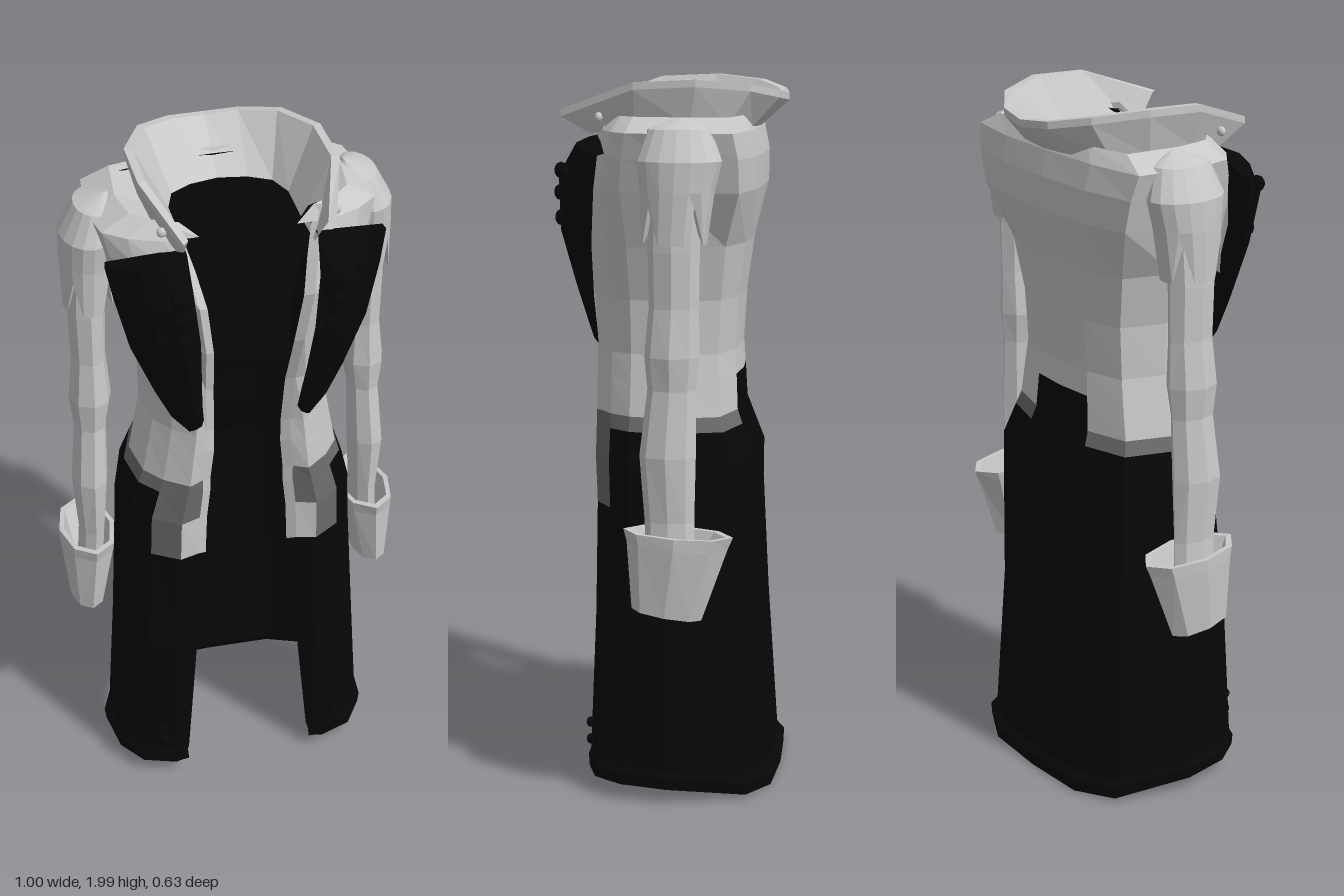
import * as THREE from 'three';

const paint = (name, color) => Object.assign(new THREE.MeshStandardMaterial({ color, flatShading: true }), { name });

export function createModel() {
  const coat = new THREE.Group();
  coat.name = 'longCoat';
  const light = paint('lightGrey', 0xc8c8c8);
  const mid = paint('midGrey', 0x6a6a6a);
  const black = paint('black', 0x070707);

  // Skins rows of points (top to bottom, each running rightwards seen from outside); one mesh per colour
  function loft(name, rows, pick, { closed = true, mirror = false } = {}) {
    const buckets = new Map();
    const n = rows[0].length;
    for (let i = 0; i < rows.length - 1; i++) {
      for (let j = 0; j < (closed ? n : n - 1); j++) {
        const k = (j + 1) % n;
        const [a, b, c, d] = [rows[i][j], rows[i][k], rows[i + 1][k], rows[i + 1][j]];
        const m = pick(i, j);
        if (!buckets.has(m)) buckets.set(m, []);
        const order = mirror ? [a, c, d, a, b, c] : [a, d, c, a, c, b];
        for (const p of order) buckets.get(m).push(mirror ? -p[0] : p[0], p[1], p[2]);
      }
    }
    for (const [m, list] of buckets) {
      const g = new THREE.BufferGeometry();
      g.setAttribute('position', new THREE.Float32BufferAttribute(list, 3));
      g.computeVertexNormals();
      const mesh = new THREE.Mesh(g, m);
      mesh.name = buckets.size > 1 ? `${name} ${m.name}` : name;
      coat.add(mesh);
    }
  }
  const flip = (half) => half.slice(0, -1).reverse().map(([x, y, z]) => [-x, y, z]);
  const whole = (half) => [...half, ...flip(half)];
  const ring = ([x, y, z, rx, rz, tilt = 0], n = 8) => Array.from({ length: n }, (_, k) => {
    const t = (k / n) * Math.PI * 2;
    return [x + rx * Math.sin(t), y + tilt * Math.cos(t), z + rz * Math.cos(t)];
  });

  // Body and skirt: height, half width, back z, front z, half opening, z of the opening edge
  const body = [
    [1.86, 0.225, -0.2, 0.17, 0.2, 0.17],
    [1.9, 0.31, -0.215, 0.15, 0.2, 0.16],
    [1.86, 0.39, -0.235, 0.17, 0.185, 0.18],
    [1.79, 0.37, -0.25, 0.2, 0.165, 0.22],
    [1.7, 0.345, -0.25, 0.215, 0.145, 0.265],
    [1.55, 0.3, -0.22, 0.215, 0.125, 0.25],
    [1.4, 0.265, -0.2, 0.205, 0.115, 0.205],
    [1.25, 0.262, -0.19, 0.2, 0.11, 0.185],
    [1.18, 0.275, -0.195, 0.2, 0.11, 0.185],
    [1.08, 0.295, -0.2, 0.2, 0.12, 0.18],
    [1.04, 0.31, -0.215, 0.2, 0.12, 0.18],
    [0.95, 0.34, -0.25, 0.2, 0.13, 0.18],
    [0.82, 0.345, -0.25, 0.195, 0.135, 0.18],
    [0.5, 0.36, -0.26, 0.2, 0.165, 0.19],
    [0.1, 0.385, -0.29, 0.215, 0.2, 0.21],
    [0.085, 0.4, -0.31, 0.22, 0.205, 0.215],
    [0.05, 0.395, -0.31, 0.22, 0.205, 0.215],
  ];
  // Corner fractions, front then back: square across the shoulders, rounder below
  const corner = (y) => {
    if (y > 1.6) return [0.8, 0.78, 0.95, 0.5, 0.94, 0.86, 0.5, 0.98];
    if (y > 0.8) return [0.8, 0.75, 0.95, 0.45, 0.85, 0.78, 0.42, 0.96];
    return [0.82, 0.85, 0.96, 0.48, 0.8, 0.78, 0.5, 0.97];
  };
  const section = (y, w, zb, zf, xf, ze) => {
    const [fx, fz, sx, sz, cx, cz, bx, bz] = corner(y);
    return whole([
      [xf, ze], [0.58 * w, zf], [fx * w, fz * zf], [sx * w, sz * zf], [w, -0.03],
      [cx * w, cz * zb], [bx * w, bz * zb], [0, zb],
    ].map(([x, z]) => [x, y - (y < 0.2 ? 0.045 * Math.max(0, -z / 0.3) : 0), z]));
  };
  const shell = body.map(([y, w, zb, zf, xf, ze], i) => {
    const end = i === 0 || i === body.length - 1;
    const t = end ? 0.002 : 0.016;
    const inner = section(end ? y : y - 0.012, w - t, zb + t, zf - t, xf - 0.015, ze - t);
    return [...section(y, w, zb, zf, xf + 0.01, ze), ...inner.reverse()];
  });
  loft('body', shell, (i, j) => {
    const frontEdge = j === 14 || j === 29;
    const backCentre = j === 6 || j === 7;
    if (j > 14 && j < 29) return black;       // lining
    if (i === 8 && backCentre) return black;  // raised back of the skirt
    if (i < 9) return light;
    if (frontEdge && i < 12) return light;
    if (i === 9) return backCentre ? black : mid;
    if (i === 11 && (j === 0 || j === 13)) return light; // tab beside the opening
    return i < 12 && (j < 2 || j === 12 || j === 13) ? mid : black;
  });

  // Standing collar, from its inner base over the rim to its outer base
  const innerBase = [[0.17, 1.82, 0.2], [0.165, 1.83, 0.1], [0.165, 1.84, -0.03], [0.14, 1.84, -0.1], [0.08, 1.84, -0.135], [0, 1.84, -0.15]];
  const rim = [[0.2, 1.915, 0.29], [0.27, 1.99, 0.08], [0.268, 1.998, -0.09], [0.2, 1.985, -0.23], [0.1, 1.965, -0.3], [0, 1.955, -0.318]];
  const outerBase = [[0.2, 1.85, 0.21], [0.235, 1.87, 0.08], [0.24, 1.87, -0.07], [0.2, 1.87, -0.17], [0.11, 1.865, -0.225], [0, 1.865, -0.24]];
  const rimInner = rim.map(([x, y, z]) => [x * 0.92, y, z * 0.93]);
  const rimOuter = rim.map(([x, y, z]) => [x, y - 0.02, z]);
  const collar = [innerBase, rimInner, rim, rimOuter, outerBase];
  loft('collar', collar.map(whole), () => light, { closed: false });
  // Closed front ends of the collar
  const end = collar.map((r) => r[0]);
  for (const mirror of [false, true]) {
    loft('collarEnd', [[end[4], end[3], end[2]], [end[0], end[1], end[2]]], () => light, { closed: false, mirror: !mirror });
  }

  // Lapel cross-sections from inner to outer edge: height, then x, z pairs
  const lapel = [
    [1.845, 0.175, 0.19, 0.24, 0.19, 0.3, 0.17, 0.375, 0.14],
    [1.84, 0.175, 0.215, 0.24, 0.24, 0.3, 0.225, 0.38, 0.158],
    [1.75, 0.17, 0.26, 0.21, 0.295, 0.29, 0.275, 0.362, 0.172],
    [1.6, 0.155, 0.275, 0.2, 0.293, 0.26, 0.265, 0.325, 0.185],
    [1.45, 0.145, 0.24, 0.18, 0.255, 0.22, 0.24, 0.262, 0.19],
    [1.36, 0.138, 0.215, 0.16, 0.23, 0.19, 0.22, 0.218, 0.19],
    [1.305, 0.132, 0.205, 0.14, 0.215, 0.155, 0.21, 0.17, 0.195],
  ].map(([y, ...p]) => [0, 1, 2, 3].map((k) => [p[2 * k], y - 0.013 * k, p[2 * k + 1]]));

  // Sleeve, scalloped shoulder cap and flared cuff: centre x, y, z, radii
  const sleeve = [
    [0.385, 1.78, -0.055, 0.055, 0.075],
    [0.395, 1.55, -0.05, 0.052, 0.07],
    [0.395, 1.4, -0.05, 0.048, 0.068],
    [0.397, 1.27, -0.045, 0.06, 0.075],
    [0.4, 1.18, -0.045, 0.046, 0.066],
    [0.41, 1.0, -0.035, 0.052, 0.077],
    [0.41, 0.82, -0.04, 0.038, 0.068],
    [0.42, 0.66, -0.045, 0.038, 0.068],
  ].map((r) => ring(r));
  // Rounded tongues: every fourth point is a raised notch
  const scallop = (r, drop) => ring(r, 16).map(([x, y, z], k) => [x, y - (k % 4 === 2 ? 0 : drop), z]);
  const cap = [
    scallop([0.33, 1.9, -0.06, 0.005, 0.01], 0),
    scallop([0.36, 1.872, -0.06, 0.055, 0.085], 0),
    scallop([0.382, 1.79, -0.062, 0.077, 0.115], 0),
    scallop([0.386, 1.71, -0.058, 0.075, 0.1], 0),
    scallop([0.39, 1.67, -0.05, 0.068, 0.088], 0.1),
    scallop([0.39, 1.68, -0.05, 0.052, 0.072], 0.08),
  ];
  const cuff = [
    [0.42, 0.66, -0.05, 0.04, 0.07],
    [0.42, 0.79, -0.065, 0.068, 0.13, 0.008],
    [0.42, 0.79, -0.065, 0.082, 0.15, 0.008],
    [0.422, 0.755, -0.062, 0.079, 0.138, 0.008],
    [0.435, 0.565, -0.035, 0.047, 0.096, 0.014],
    [0.435, 0.565, -0.035, 0.038, 0.08, 0.014],
    [0.432, 0.61, -0.04, 0.036, 0.075, 0.01],
  ].map((r) => ring(r));
  const cuffHole = [cuff[6], ring([0.432, 0.615, -0.04, 0, 0])];

  const ball = new THREE.IcosahedronGeometry(1, 1);
  function button(name, material, x, y, z, r) {
    const b = new THREE.Mesh(ball, material);
    b.name = name;
    b.position.set(x, y, z);
    b.scale.set(r, r, r * 0.8);
    coat.add(b);
  }

  for (const mirror of [false, true]) {
    const side = mirror ? 'right' : 'left';
    const s = mirror ? -1 : 1;
    loft(`${side}Lapel`, [lapel[0].map(() => [0.27, 1.825, 0.17]), ...lapel], () => black, { mirror });
    loft(`${side}Sleeve`, sleeve, () => light, { mirror });
    loft(`${side}ShoulderCap`, cap, () => light, { mirror });
    loft(`${side}Cuff`, cuff, () => light, { mirror });
    loft(`${side}CuffOpening`, cuffHole, () => black, { mirror });
    // Two rows of lapel buttons, a collar stud and hem studs
    for (const [x, y, z] of [[0.215, 1.75, 0.288], [0.21, 1.69, 0.29], [0.2, 1.62, 0.29], [0.29, 1.75, 0.264], [0.26, 1.62, 0.255]]) {
      button(`${side}LapelButton`, black, s * x, y, z, 0.023);
    }
    button(`${side}CollarStud`, light, s * 0.232, 1.895, 0.18, 0.014);
    for (const y of [0.19, 0.14]) button(`${side}HemStud`, black, s * 0.265, y, 0.208, 0.015);
  }
  return coat;
}
